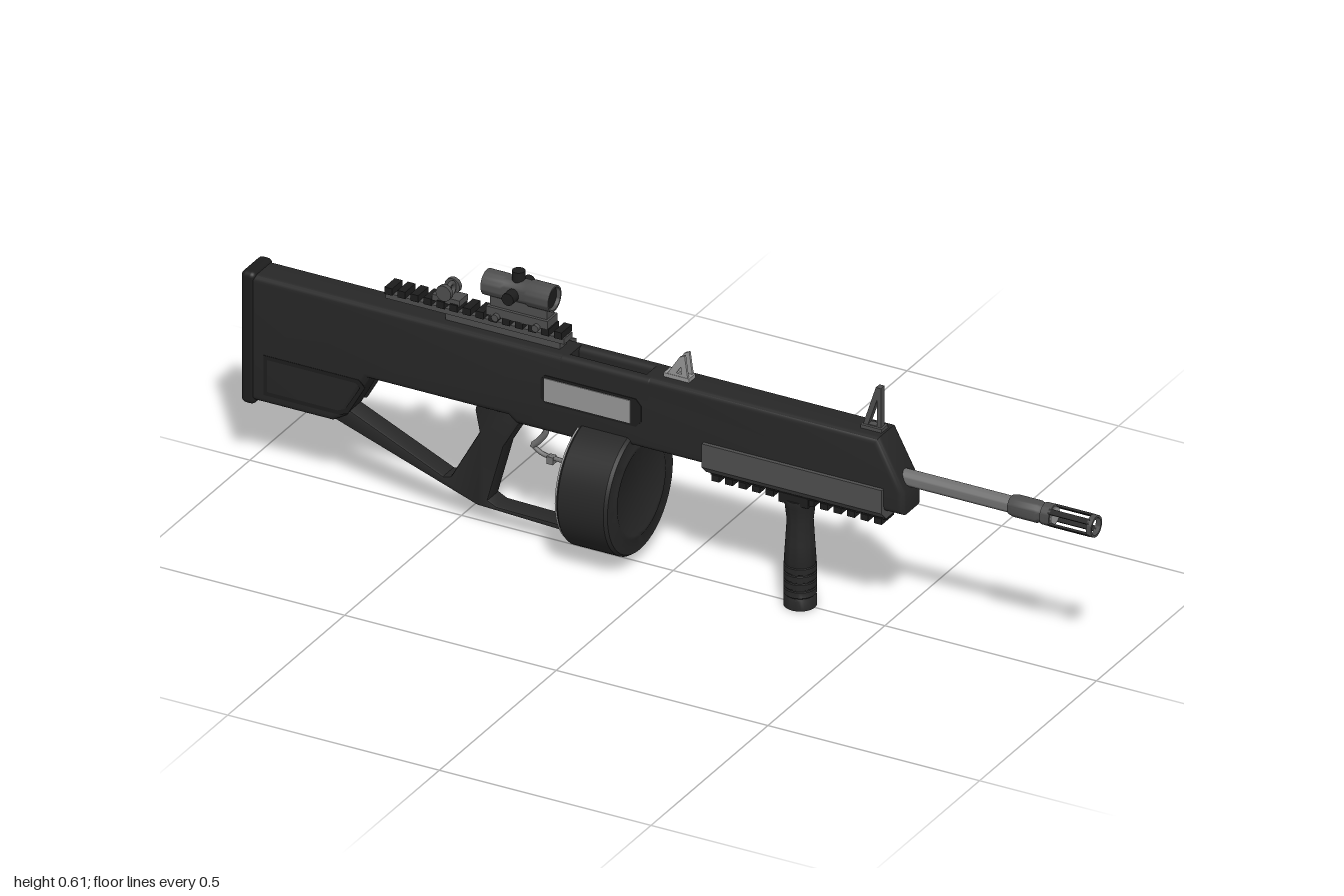
import * as THREE from 'three';
import { toCreasedNormals } from 'three/addons/utils/BufferGeometryUtils.js';
import { RoundedBoxGeometry } from 'three/addons/geometries/RoundedBoxGeometry.js';

const mat = (name, color) => {
  const m = new THREE.MeshStandardMaterial({ color });
  m.name = name;
  return m;
};

export function createModel() {
  const root = new THREE.Group();
  root.name = 'rifle';
  const body = mat('charcoal polymer', 0x272727);
  const dark = mat('dark trim', 0x1d1d1d);
  const grey = mat('mid grey', 0x4e4e4e);
  const steel = mat('barrel steel', 0x727272);
  const light = mat('light steel', 0x989898);

  const add = (name, geo, m, x = 0, y = 0, z = 0) => {
    const mesh = new THREE.Mesh(geo, m);
    mesh.name = name;
    mesh.position.set(x, y, z);
    root.add(mesh);
    return mesh;
  };
  // Box given by its limits in x and y and its half width in z
  const box = (name, m, x0, x1, y0, y1, hz) =>
    add(name, new THREE.BoxGeometry(x1 - x0, y1 - y0, hz * 2), m, (x0 + x1) / 2, (y0 + y1) / 2, 0);
  // Side profile extruded symmetrically in z with bevelled edges
  const slab = (name, m, pts, hz, bevel, z = 0, segs = 3, holes = []) => {
    const s = new THREE.Shape(pts.map(p => new THREE.Vector2(...p)));
    for (const h of holes) s.holes.push(new THREE.Path(h.map(p => new THREE.Vector2(...p))));
    const g = new THREE.ExtrudeGeometry(s, {
      depth: 2 * (hz - bevel), bevelEnabled: bevel > 0, bevelSize: bevel,
      bevelThickness: bevel, bevelOffset: -bevel, bevelSegments: segs,
    });
    g.translate(0, 0, bevel - hz);
    return add(name, toCreasedNormals(g, 0.6), m, 0, 0, z);
  };
  // Cross-section in (z, y) extruded along x
  const section = (name, m, pts, x0, x1) => {
    const s = new THREE.Shape(pts.map(([z, y]) => new THREE.Vector2(-z, y)));
    const g = new THREE.ExtrudeGeometry(s, { depth: x1 - x0, bevelEnabled: false });
    g.rotateY(Math.PI / 2);
    return add(name, g, m, x0, 0, 0);
  };
  // Turned part along x: profile points are [x, radius]
  const turned = (name, m, prof, y, n = 32) => {
    const g = new THREE.LatheGeometry(prof.map(([x, r]) => new THREE.Vector2(r, x)), n);
    g.rotateZ(-Math.PI / 2);
    return add(name, toCreasedNormals(g, 0.6), m, 0, y, 0);
  };
  const mirrorZ = f => [1, -1].forEach(f);

  // Receiver and stock, notched on top for the charging slot
  slab('receiver', body, [[-0.98, 0.458], [-0.23, 0.458], [-0.23, 0.42], [-0.05, 0.42], [-0.05, 0.458],
    [0.505, 0.458], [0.565, 0.345], [0.565, 0.29], [-0.2, 0.29],
    [-0.215, 0.27], [-0.35, 0.27], [-0.37, 0.285], [-0.70, 0.285], [-0.755, 0.183], [-0.785, 0.165], [-0.98, 0.165]],
  0.041, 0.014, 0, 4);
  mirrorZ(s => add('slotWall', new RoundedBoxGeometry(0.23, 0.073, 0.028, 4, 0.0135), body, -0.14, 0.4215, s * 0.027));
  box('slotInsert', light, -0.225, -0.055, 0.415, 0.424, 0.015);
  add('buttPlate', new RoundedBoxGeometry(0.034, 0.31, 0.086, 3, 0.012), dark, -0.983, 0.31);
  const panel = [[-0.945, 0.28], [-0.72, 0.28], [-0.705, 0.265], [-0.745, 0.195], [-0.765, 0.187], [-0.945, 0.187]];
  const inner = [[-0.936, 0.271], [-0.727, 0.271], [-0.717, 0.262], [-0.752, 0.204], [-0.77, 0.196], [-0.936, 0.196]];
  mirrorZ(s => slab('stockPanelRim', dark, panel, 0.001, 0, s * 0.041, 1, [inner]));

  // Grip and lower strut
  slab('gripFrame', body, [[-0.45, 0.3], [-0.35, 0.3], [-0.35, 0.265], [-0.388, 0.2], [-0.425, 0.066], [-0.405, 0.056],
    [-0.205, 0.052], [-0.205, 0.038], [-0.45, 0.048], [-0.79, 0.165], [-0.75, 0.192], [-0.53, 0.095], [-0.512, 0.1],
    [-0.445, 0.22], [-0.455, 0.27]], 0.025, 0.005, 0, 2);
  box('guardPost', body, -0.216, -0.204, 0.04, 0.3, 0.018);

  // Trigger and its inner guard
  const tube = (name, m, pts, r) => add(name, new THREE.TubeGeometry(
    new THREE.CatmullRomCurve3(pts.map(p => new THREE.Vector3(p[0], p[1], 0))), 20, r, 8), m);
  tube('trigger', steel, [[-0.305, 0.28], [-0.30, 0.25], [-0.315, 0.225], [-0.33, 0.21]], 0.007);
  tube('triggerGuard', steel, [[-0.335, 0.21], [-0.31, 0.195], [-0.27, 0.19], [-0.21, 0.19]], 0.005);
  box('triggerGuardStop', steel, -0.295, -0.28, 0.178, 0.195, 0.008);

  // Drum magazine with ringed front face and light rear face
  turned('drumMagazine', body, [[-0.2, 0], [-0.2, 0.138], [-0.193, 0.145], [-0.085, 0.145], [-0.078, 0.14],
    [-0.078, 0.11], [-0.0765, 0.107], [-0.0765, 0.1], [-0.078, 0.097], [-0.078, 0]], 0.17, 48);
  turned('drumRearPlate', light, [[-0.203, 0], [-0.203, 0.139], [-0.199, 0.139]], 0.17, 48);
  box('magazineWell', body, -0.2, -0.08, 0.27, 0.31, 0.03);

  // Ejection port with bolt cover
  slab('portRim', dark, [[-0.29, 0.35], [-0.28, 0.34], [-0.065, 0.34], [-0.052, 0.355], [-0.052, 0.39],
    [-0.065, 0.405], [-0.28, 0.405], [-0.29, 0.395]], 0.001, 0, 0.0415);
  add('boltCover', new THREE.BoxGeometry(0.203, 0.053, 0.004), light, -0.1785, 0.3725, 0.0425);

  // Forward guard shells with lower accessory rail
  mirrorZ(s => {
    const pts = [[0.038, 0.345], [0.05, 0.345], [0.05, 0.29], [0.03, 0.27], [0, 0.27], [0, 0.285], [0.025, 0.285], [0.038, 0.298]];
    section('handguardShell', grey, pts.map(([z, y]) => [s * z, y]), 0.095, 0.52);
  });
  box('lowerRail', dark, 0.1, 0.515, 0.262, 0.275, 0.022);
  for (let i = 0; i < 13; i++) box('lowerRailTooth', dark, 0.105 + i * 0.032, 0.123 + i * 0.032, 0.25, 0.264, 0.026);

  // Vertical foregrip with grooves
  const gp = [[0, 0], [0.035, 0], [0.035, 0.022], [0.032, 0.027]];
  for (let i = 0; i < 4; i++) {
    const y = 0.03 + i * 0.018;
    gp.push([0.035, y], [0.035, y + 0.013], [0.0325, y + 0.0145], [0.0325, y + 0.0165]);
  }
  gp.push([0.034, 0.105], [0.031, 0.15], [0.028, 0.2], [0.032, 0.235], [0.034, 0.242], [0.034, 0.252], [0, 0.252]);
  add('foregrip', toCreasedNormals(new THREE.LatheGeometry(gp.map(p => new THREE.Vector2(...p)), 32), 0.6), body, 0.3);
  box('foregripClamp', dark, 0.265, 0.335, 0.245, 0.268, 0.03);

  // Barrel, collar and slotted muzzle
  const by = 0.362;
  turned('barrel', steel, [[0.54, 0], [0.54, 0.018], [0.81, 0.018], [0.81, 0]], by);
  turned('muzzleCollar', grey, [[0.80, 0], [0.80, 0.021], [0.812, 0.024], [0.865, 0.024], [0.872, 0.021], [0.885, 0.021], [0.885, 0]], by);
  turned('muzzleBase', grey, [[0.878, 0], [0.878, 0.024], [0.9, 0.024], [0.9, 0]], by);
  turned('boreFace', light, [[0.899, 0], [0.899, 0.019], [0.903, 0.019], [0.903, 0]], by);
  turned('muzzleRing', grey, [[0.988, 0.019], [0.988, 0.024], [1, 0.024], [1, 0.019], [0.988, 0.019]], by);
  for (let i = 0; i < 4; i++) {
    const a = Math.PI / 4 + i * Math.PI / 2;
    const p = box('muzzleProng', dark, 0.895, 0.992, by - 0.0025, by + 0.0025, 0.006);
    p.position.y = by + Math.sin(a) * 0.0213;
    p.position.z = Math.cos(a) * 0.0213;
    p.rotation.x = Math.PI / 2 - a;
  }

  // Top rail and its side bracket
  box('railBase', grey, -0.53, -0.26, 0.456, 0.476, 0.014);
  box('topRail', grey, -0.67, -0.248, 0.474, 0.487, 0.018);
  for (let i = 0; i < 14; i++) box('topRailTooth', dark, -0.67 + i * 0.0308, -0.652 + i * 0.0308, 0.486, 0.502, 0.022);
  section('sideBracket', grey, [[-0.008, 0.476], [-0.06, 0.449], [-0.06, 0.385], [-0.04, 0.374], [-0.04, 0.386],
    [-0.047, 0.39], [-0.047, 0.442], [-0.008, 0.462]], -0.53, -0.262);

  // Optic with mount, knobs and lenses
  box('opticMount', grey, -0.43, -0.285, 0.5, 0.52, 0.022);
  box('opticNeck', grey, -0.425, -0.29, 0.518, 0.548, 0.015);
  [-0.405, -0.31].forEach(x => {
    const g = new THREE.CylinderGeometry(0.008, 0.008, 0.062, 12).rotateX(Math.PI / 2);
    add('mountScrew', g, grey, x, 0.501);
  });
  const oy = 0.565;
  turned('opticTube', grey, [[-0.435, 0.021], [-0.44, 0.024], [-0.44, 0.028], [-0.395, 0.028], [-0.388, 0.026],
    [-0.34, 0.026], [-0.333, 0.029], [-0.28, 0.029], [-0.28, 0.025], [-0.29, 0.023]], oy);
  turned('opticLenses', dark, [[-0.435, 0], [-0.435, 0.024], [-0.288, 0.024], [-0.288, 0]], oy);
  add('elevationKnob', new THREE.CylinderGeometry(0.014, 0.014, 0.03, 20), dark, -0.365, 0.595);
  mirrorZ(s => add('windageKnob', new THREE.CylinderGeometry(0.014, 0.014, 0.03, 20).rotateX(Math.PI / 2), dark, -0.365, oy - 0.002, s * 0.033));

  // Folding rear sight on the rail
  box('rearSightBase', grey, -0.56, -0.495, 0.498, 0.512, 0.018);
  add('rearSightAperture', new THREE.TorusGeometry(0.013, 0.005, 8, 20).rotateY(Math.PI / 2), grey, -0.525, 0.525);
  mirrorZ(s => add('rearSightKnob', new THREE.CylinderGeometry(0.018, 0.018, 0.01, 16).rotateX(Math.PI / 2), grey, -0.53, 0.523, s * 0.019));

  // Small middle sight: two thin cheeks on a foot
  box('middleSightFoot', light, -0.015, 0.045, 0.455, 0.467, 0.014);
  mirrorZ(s => slab('middleSightCheek', light, [[-0.01, 0.462], [0.042, 0.462], [0.034, 0.518], [0.022, 0.512]],
    0.003, 0, s * 0.01, 1, [[[0.014, 0.473], [0.027, 0.473], [0.025, 0.489]]]));

  // Front sight: open triangular frame
  box('frontSightFoot', grey, 0.45, 0.5, 0.452, 0.466, 0.014);
  slab('frontSight', grey, [[0.452, 0.462], [0.495, 0.462], [0.495, 0.558], [0.483, 0.558]], 0.008, 0, 0, 1,
    [[[0.465, 0.468], [0.486, 0.468], [0.486, 0.53]]]);
  return root;
}
